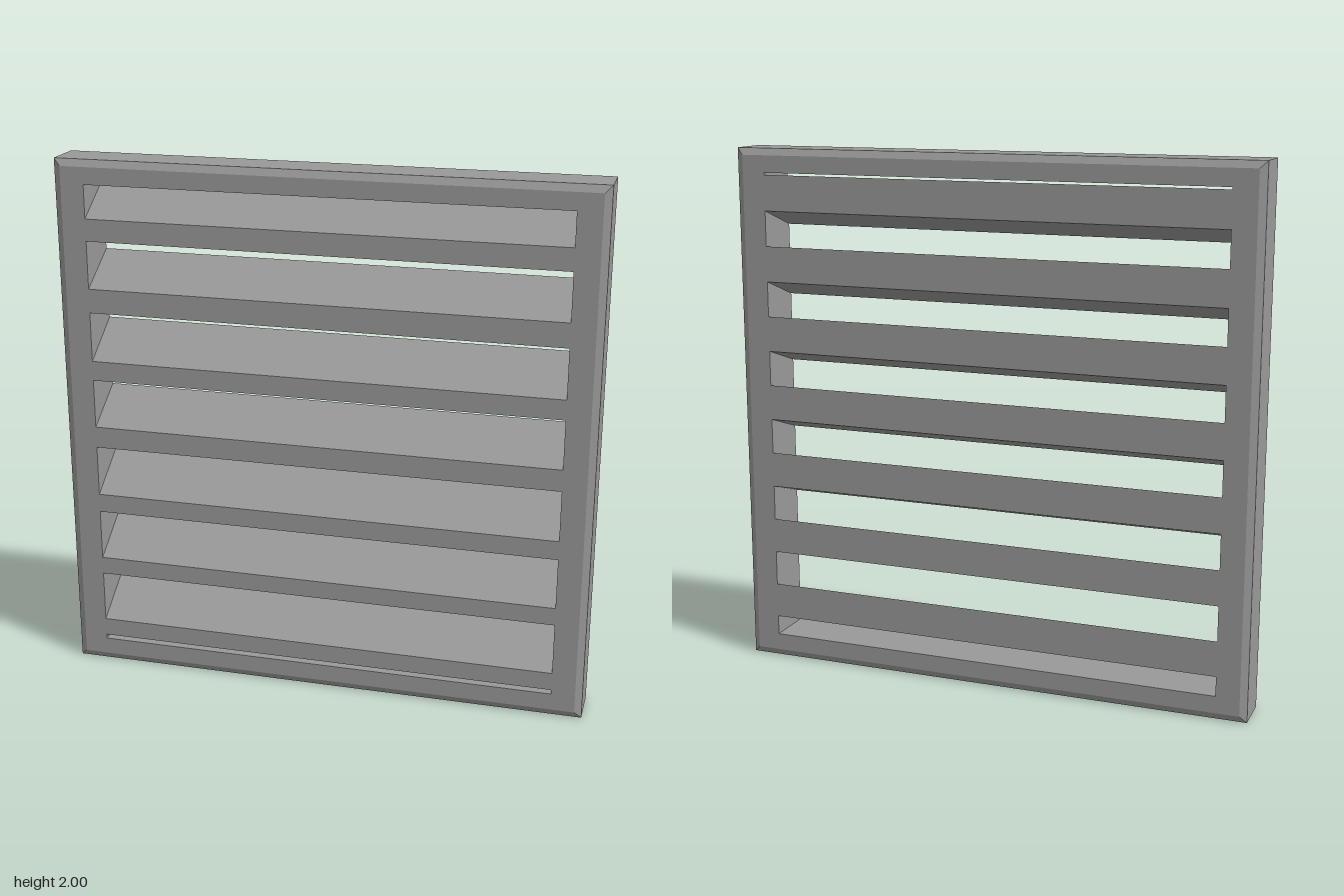
import * as THREE from 'three';

const D = 0.093; // half depth
const HALF_OPENING = 0.885;
const material = new THREE.MeshStandardMaterial({ color: 0x999999, flatShading: true });

// Mitred rectangular frame: one chamfered profile swept through four corners
function frameGeometry() {
  // [0 = outer edge .. 1 = opening edge, chamfer inset, z]
  const profile = [
    [0, 0, -0.078], [0, 0, 0.078], [0, 0.026, D],
    [1, 0, D], [1, 0, -D], [0, 0.026, -D],
  ];
  const corners = [[-1, -1], [1, -1], [1, 1], [-1, 1]];
  const point = ([sx, sy], [inner, inset, z]) => {
    const x = (inner ? HALF_OPENING : 1) - inset;
    const outerY = sy < 0 ? inset : 2 - inset;
    const y = inner ? (sy < 0 ? 0.091 : 1.91) : outerY;
    return [sx * x, y, z];
  };
  const positions = [];
  corners.forEach((c, i) => {
    const next = corners[(i + 1) % 4];
    profile.forEach((p, j) => {
      const q = profile[(j + 1) % profile.length];
      const a = point(c, p), b = point(next, p), e = point(next, q), f = point(c, q);
      positions.push(...a, ...b, ...e, ...a, ...e, ...f);
    });
  });
  const geometry = new THREE.BufferGeometry();
  geometry.setAttribute('position', new THREE.Float32BufferAttribute(positions, 3));
  geometry.computeVertexNormals();
  return geometry;
}

// Sloping slat, flush with the front and back of the frame
function slatGeometry(frontTop, frontBottom, backTop, backBottom) {
  const geometry = new THREE.BoxGeometry(2 * HALF_OPENING, 1, 2 * D);
  const pos = geometry.attributes.position;
  for (let i = 0; i < pos.count; i++) {
    const top = pos.getY(i) > 0;
    const front = pos.getZ(i) > 0;
    pos.setY(i, front ? (top ? frontTop : frontBottom) : (top ? backTop : backBottom));
  }
  geometry.computeVertexNormals();
  return geometry;
}

export function createModel() {
  const group = new THREE.Group();
  group.name = 'louvreVent';

  const frame = new THREE.Mesh(frameGeometry(), material);
  frame.name = 'frame';
  group.add(frame);

  // Upper and lower front edges of each slat, top to bottom
  const slats = [
    [1.785, 1.702], [1.523, 1.432], [1.245, 1.17], [0.984, 0.902],
    [0.709, 0.637], [0.443, 0.375], [0.177, 0.108],
  ];
  slats.forEach(([top, bottom], i) => {
    const backTop = 1.902 - i * 0.267;
    const slat = new THREE.Mesh(slatGeometry(top, bottom, backTop, backTop - 0.134), material);
    slat.name = `slat${i + 1}`;
    group.add(slat);
  });
  return group;
}
